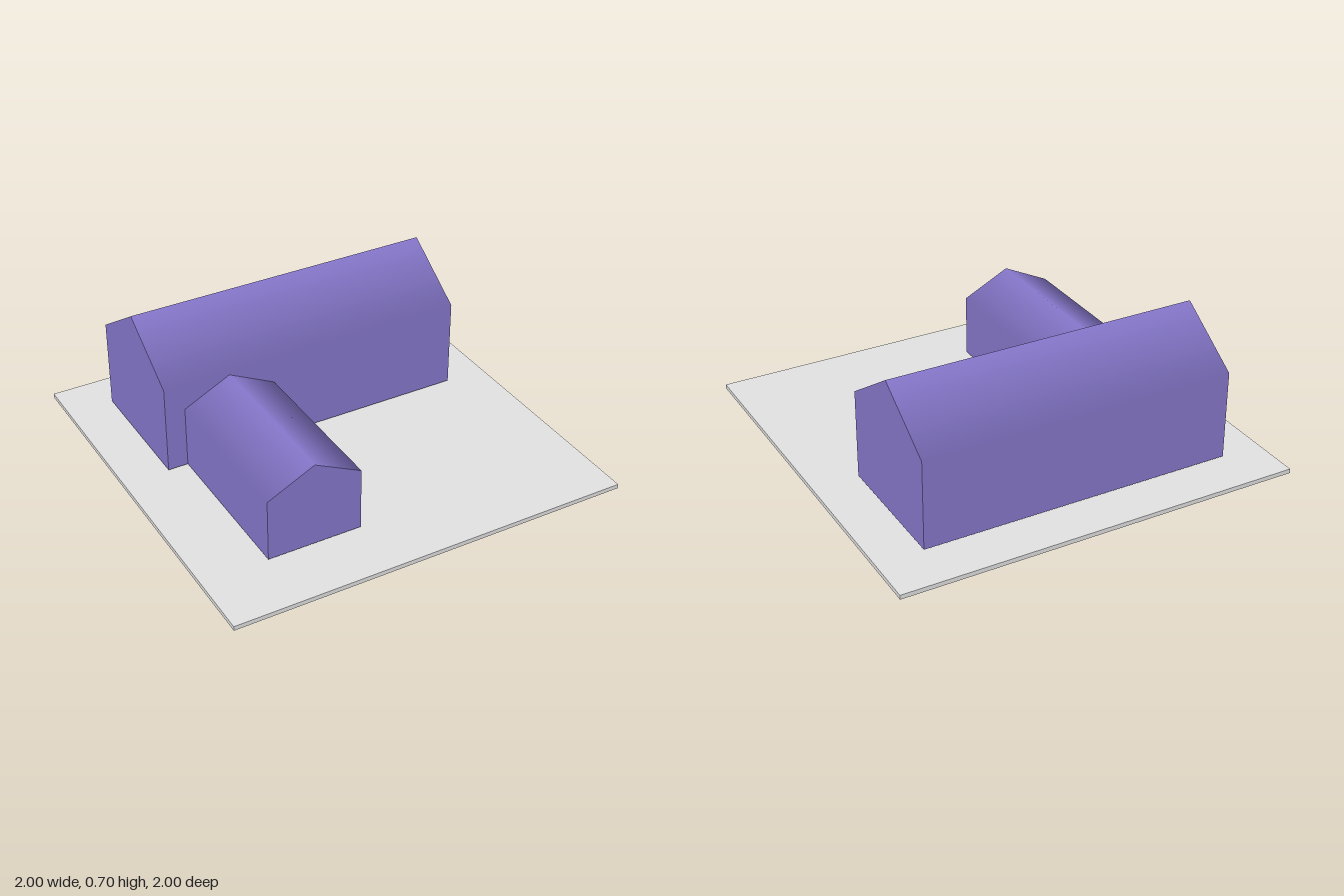
import * as THREE from 'three';

const purple = new THREE.MeshStandardMaterial({ color: 0x8778cc });
purple.name = 'purple walls';
const grey = new THREE.MeshStandardMaterial({ color: 0xe2e2e2 });
grey.name = 'pale grey ground';

const FLOOR = 0.037;

// Gabled block with its ridge along local z, centred on its own footprint
function gabledBlock(name, width, length, eave, ridge) {
  const group = new THREE.Group();
  group.name = name;

  const wallHeight = eave - FLOOR;
  const walls = new THREE.Mesh(new THREE.BoxGeometry(width, wallHeight, length), purple);
  walls.name = name + 'Walls';
  walls.position.y = FLOOR + wallHeight / 2;

  // Two-sided half cylinder: a pitched roof with softly shaded slopes
  const roofShape = new THREE.CylinderGeometry(1, 1, length, 2, 1, false, Math.PI / 2, Math.PI);
  roofShape.rotateX(Math.PI / 2);
  roofShape.scale(width / 2, ridge - eave, 1);
  const roof = new THREE.Mesh(roofShape, purple);
  roof.name = name + 'Roof';
  roof.position.y = eave;

  group.add(walls, roof);
  return group;
}

export function createModel() {
  const model = new THREE.Group();
  model.name = 'houseOnPlot';

  // Ground slab
  const ground = new THREE.Mesh(new THREE.BoxGeometry(2, 0.022, 2), grey);
  ground.name = 'groundSlab';
  ground.position.y = 0.011;

  // Main house across the back
  const house = gabledBlock('mainHouse', 0.667, 1.556, 0.48, 0.702);
  house.rotation.y = Math.PI / 2;
  house.position.z = -0.4445;

  // Lower wing running forward
  const wing = gabledBlock('frontWing', 0.467, 0.811, 0.347, 0.462);
  wing.position.set(-0.445, 0, 0.2945);

  model.add(ground, house, wing);
  return model;
}
